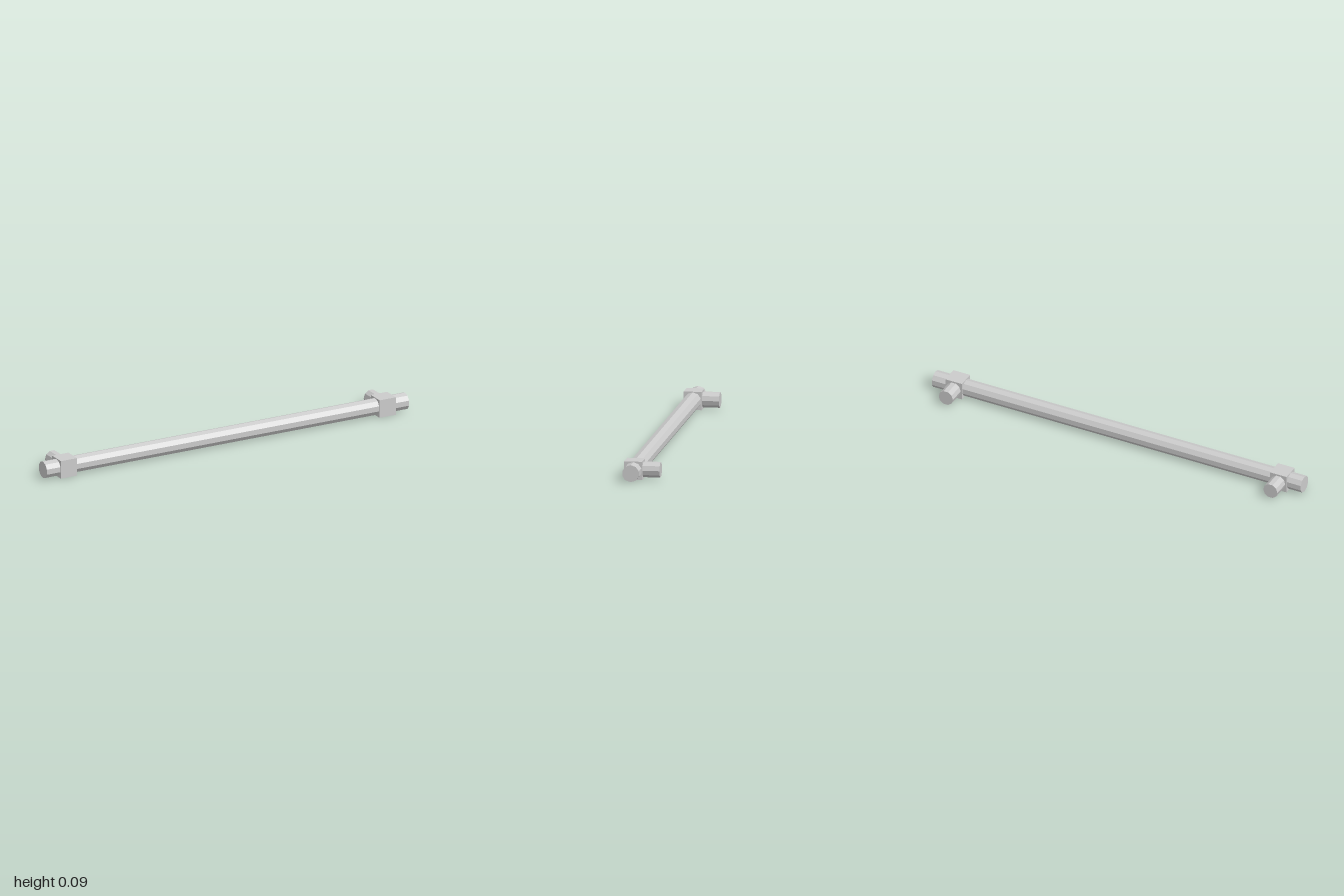
import * as THREE from 'three';

export function createModel() {
  const model = new THREE.Group();
  const material = new THREE.MeshStandardMaterial({ color: 0xcccccc, flatShading: true });
  const Y = 0.045, BAR_Z = 0.042;

  const add = (name, geometry, x, y, z) => {
    const mesh = new THREE.Mesh(geometry, material);
    mesh.name = name;
    mesh.position.set(x, y, z);
    model.add(mesh);
  };
  // Ten-sided rod, turned a quarter so its corners sit on the right axis
  const rod = (radius, length) =>
    new THREE.CylinderGeometry(radius, radius, length, 10, 1, false, Math.PI / 2);

  // Long grip bar
  add('gripBar', rod(0.042, 2).rotateZ(Math.PI / 2), 0, Y, BAR_Z);

  // Square clamp block and rear mounting post at each end
  for (const [side, s] of [['left', 1], ['right', -1]]) {
    const x = s * 0.88;
    add(side + 'Block', new THREE.BoxGeometry(0.09, 0.09, 0.088), x, Y, BAR_Z);
    add(side + 'Post', rod(0.0385, 0.085).rotateX(Math.PI / 2), x, Y, -0.043);
  }
  return model;
}
